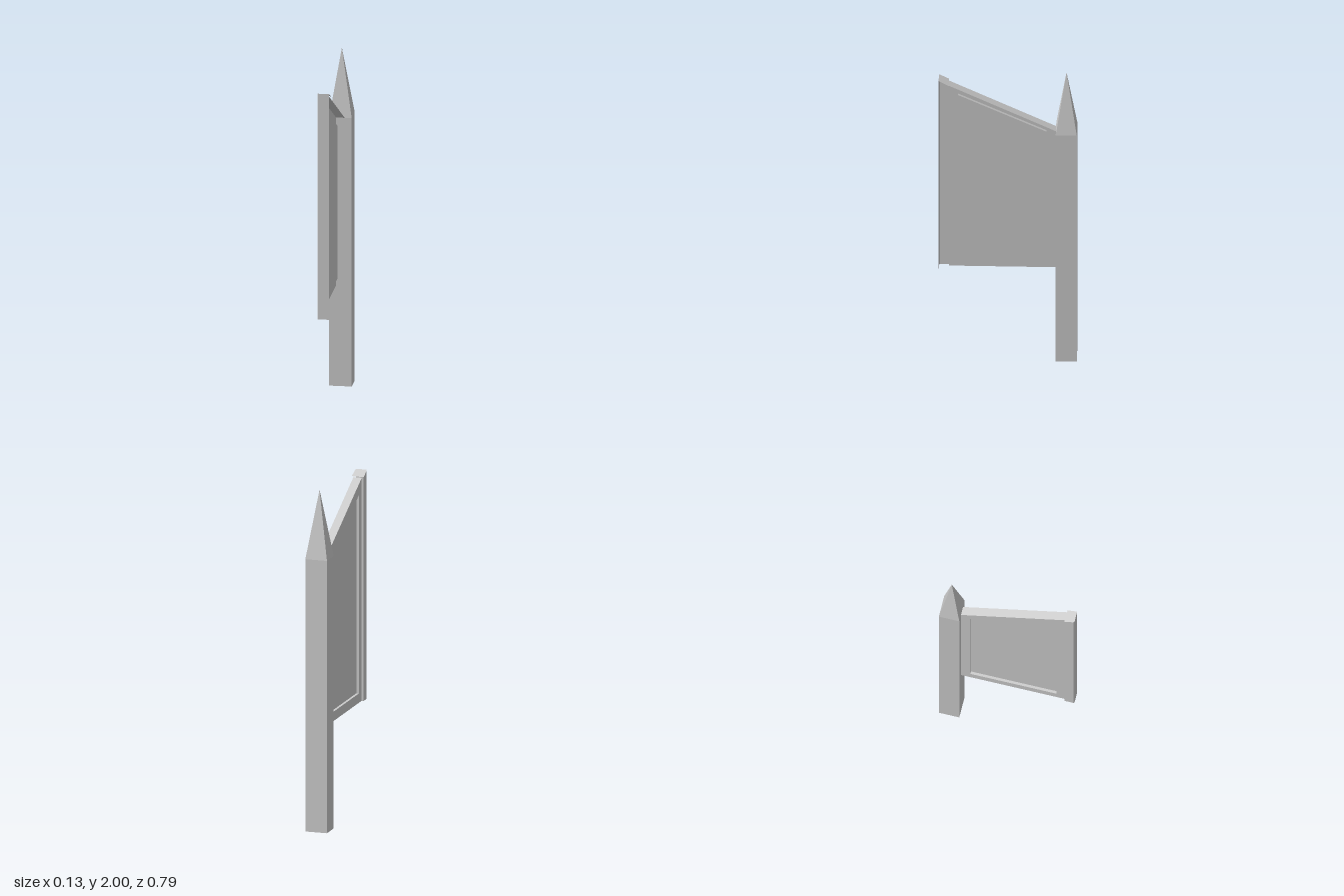
import * as THREE from 'three';

const material = new THREE.MeshStandardMaterial({
  color: 0xcccccc, flatShading: true, side: THREE.DoubleSide,
});

function addPart(group, name, geometry) {
  const mesh = new THREE.Mesh(geometry, material);
  mesh.name = name;
  group.add(mesh);
  return mesh;
}

// Flat quads, each given as four corners counter-clockwise from its front
function quads(list) {
  const points = [];
  for (const [a, b, c, d] of list) points.push(...a, ...b, ...c, ...a, ...c, ...d);
  const geometry = new THREE.BufferGeometry();
  geometry.setAttribute('position', new THREE.Float32BufferAttribute(points, 3));
  geometry.computeVertexNormals();
  return geometry;
}

// Quads joining two four-cornered loops
function band(outer, inner) {
  return outer.map((p, i) => {
    const j = (i + 1) % 4;
    return [p, outer[j], inner[j], inner[i]];
  });
}

// Four-sided outline of the sloped panel at a given x
function outline(x, z0, z1, y, top0, top1) {
  return [[x, y, z0], [x, y, z1], [x, top1, z1], [x, top0, z0]];
}

export function createModel() {
  const model = new THREE.Group();
  model.name = 'signPost';

  // Square post, open underneath, with a pointed top
  const postZ = -0.335;
  const shaft = new THREE.CylinderGeometry(Math.SQRT1_2, Math.SQRT1_2, 1.6, 4, 1, true);
  shaft.rotateY(Math.PI / 4).scale(0.13, 1, 0.12).translate(0, 0.8, postZ);
  addPart(model, 'post', shaft);
  const spike = new THREE.ConeGeometry(Math.SQRT1_2, 0.4, 4, 1, true);
  spike.rotateY(Math.PI / 4).scale(0.13, 1, 0.12).translate(0, 1.8, postZ);
  addPart(model, 'postPoint', spike);

  // Panel sheet with a stepped recess
  const back = -0.275, front = 0.335, half = 0.025;
  const edge = outline(-half, back, front, 0.6, 1.6, 1.91);
  const rim = outline(-half, -0.22, 0.285, 0.655, 1.57, 1.82);
  const floor = outline(-0.01, -0.22, 0.285, 0.655, 1.57, 1.82);
  addPart(model, 'panelFrame', quads(band(edge, rim)));
  addPart(model, 'panelRecess', quads([...band(rim, floor), floor]));

  // Sloping cap along the panel's upper edge
  addPart(model, 'panelCap', quads([
    [[-half, 1.6, back], [-half, 1.91, front], [half, 1.91, front], [half, 1.6, back]],
  ]));

  // Upright edge strip: folded from the panel around the front, open on the left
  const fold = [[-half, front], [-0.037, front], [-0.037, 0.387], [-0.033, 0.393], [0.03, 0.393]];
  const topY = (z) => 1.915 + (z - front) * 0.52;
  const strip = fold.slice(1).map(([x, z], i) => {
    const [px, pz] = fold[i];
    return [[px, 0.6, pz], [x, 0.6, z], [x, topY(z), z], [px, topY(pz), pz]];
  });
  addPart(model, 'edgeStrip', quads(strip));

  // Cap over the edge strip
  const capOutline = [...fold.slice(1), [0.036, front]];
  const corner = ([x, z]) => [x, topY(z), z];
  const [a, b, c, d, e] = capOutline.map(corner);
  addPart(model, 'edgeStripCap', quads([[a, b, c, e], [c, d, e, e]]));

  return model;
}
